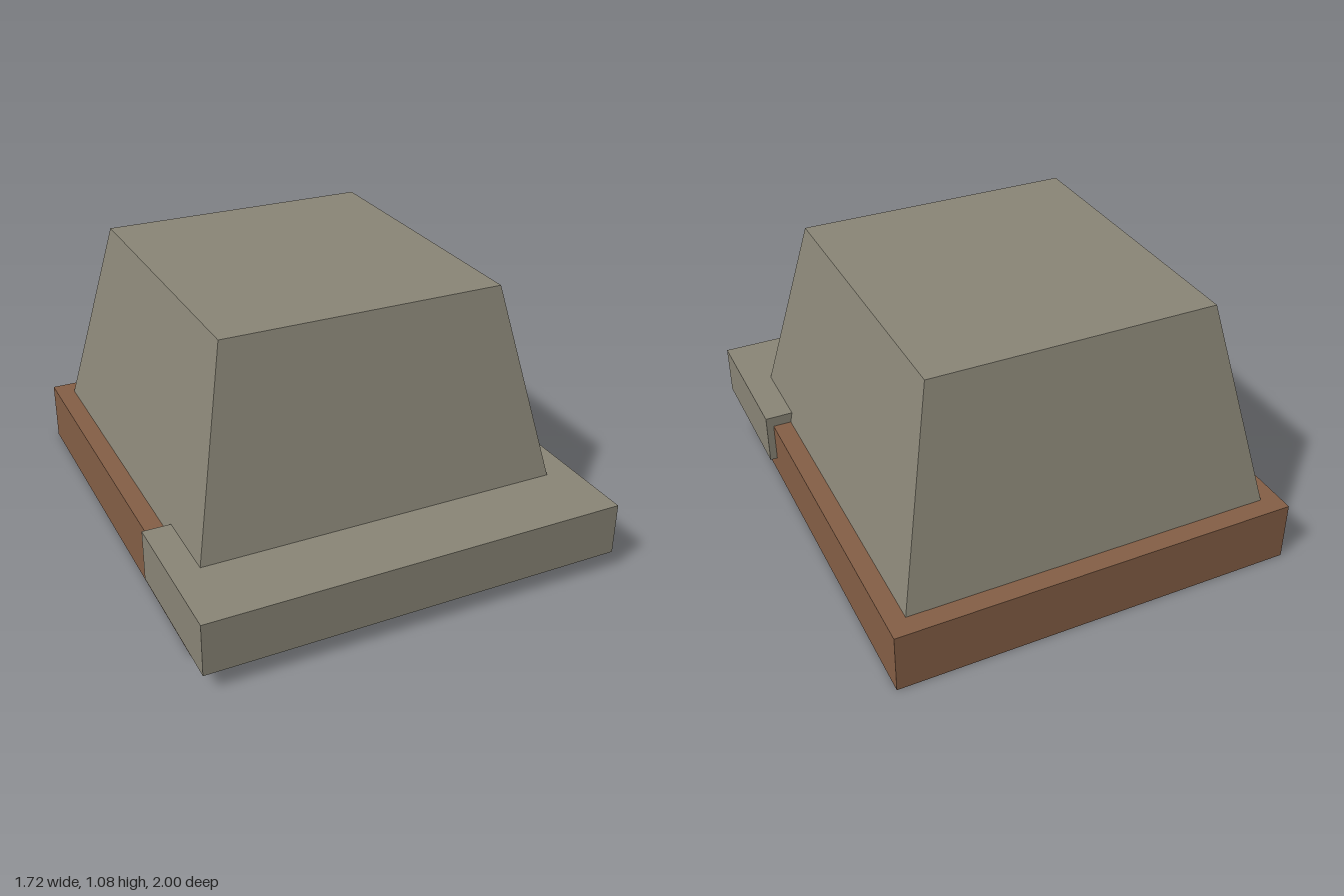
import * as THREE from 'three';

// Box given by its limits on each axis
function boxBetween(x, y0, y1, z0, z1) {
  const g = new THREE.BoxGeometry(2 * x, y1 - y0, z1 - z0);
  return g.translate(0, (y0 + y1) / 2, (z0 + z1) / 2);
}

// Four-sided tapered block; each end is { y, x, z0, z1 }
function taperedBlock(bottom, top) {
  const g = new THREE.BoxGeometry(2, 2, 2);
  const p = g.attributes.position;
  for (let i = 0; i < p.count; i++) {
    const end = p.getY(i) > 0 ? top : bottom;
    p.setXYZ(i, p.getX(i) * end.x, end.y, p.getZ(i) > 0 ? end.z1 : end.z0);
  }
  g.computeVertexNormals();
  return g;
}

export function createModel() {
  const group = new THREE.Group();
  const stone = new THREE.MeshStandardMaterial({ color: 0x8a8677 });
  const brown = new THREE.MeshStandardMaterial({ color: 0x855f46 });

  const add = (name, geometry, material) => {
    const mesh = new THREE.Mesh(geometry, material);
    mesh.name = name;
    group.add(mesh);
  };

  // Brown plinth
  add('base', boxBetween(0.83, 0, 0.25, -1, 0.79), brown);

  // Wider slab wrapping the front of the plinth
  add('frontSlab', boxBetween(0.86, 0.08, 0.295, 0.385, 1), stone);

  // Tapered body
  add('body', taperedBlock(
    { y: 0.25, x: 0.754, z0: -0.92, z1: 0.704 },
    { y: 1.08, x: 0.577, z0: -0.73, z1: 0.513 },
  ), stone);

  return group;
}
